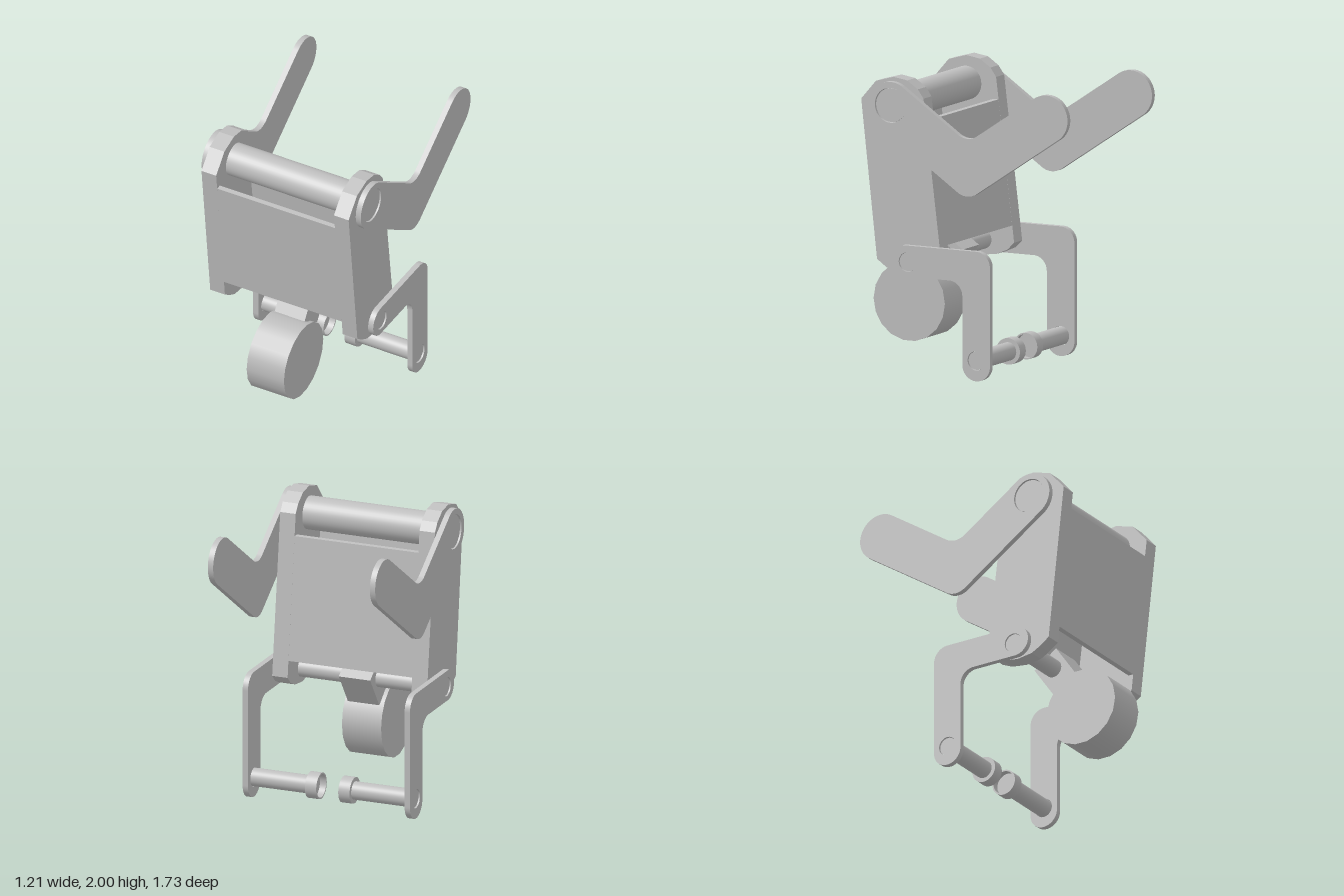
import * as THREE from 'three';

const grey = new THREE.MeshStandardMaterial({ color: 0xc0c0c0 });
grey.name = 'grey metal';

const V = (z, y) => new THREE.Vector2(z, y);

// polygon with every corner rounded by its own radius: corners are [point, radius]
function roundedShape(corners) {
  const shape = new THREE.Shape();
  const n = corners.length;
  corners.forEach(([p, r], i) => {
    const a = corners[(i + n - 1) % n][0].clone().sub(p).normalize();
    const b = corners[(i + 1) % n][0].clone().sub(p).normalize();
    const half = Math.acos(THREE.MathUtils.clamp(a.dot(b), -1, 1)) / 2;
    const c = a.clone().add(b).normalize().multiplyScalar(r / Math.sin(half)).add(p);
    const t = r / Math.tan(half);
    const s = a.multiplyScalar(t).add(p), e = b.multiplyScalar(t).add(p);
    const a0 = Math.atan2(s.y - c.y, s.x - c.x), a1 = Math.atan2(e.y - c.y, e.x - c.x);
    const clockwise = Math.sin(a1 - a0) < 0;
    if (i === 0) shape.moveTo(s.x, s.y); else shape.lineTo(s.x, s.y);
    shape.absarc(c.x, c.y, r, a0, a1, clockwise);
  });
  shape.closePath();
  return shape;
}

// bent bar of half width w along three points, with round ends and a rounded bend
function bentBar(A, B, C, w, outerR, innerR) {
  const d1 = B.clone().sub(A).normalize(), d2 = C.clone().sub(B).normalize();
  const n1 = V(-d1.y, d1.x), n2 = V(-d2.y, d2.x);
  const m = n1.clone().add(n2).normalize();
  m.multiplyScalar(w / m.dot(n1));
  const off = (p, d, kd, n, kn) => p.clone().addScaledVector(d, kd).addScaledVector(n, kn);
  const endR = w * 0.995;
  const turnsLeft = d1.cross(d2) > 0;
  return roundedShape([
    [off(A, d1, -w, n1, -w), endR],
    [B.clone().sub(m), turnsLeft ? outerR : innerR],
    [off(C, d2, w, n2, -w), endR],
    [off(C, d2, w, n2, w), endR],
    [B.clone().add(m), turnsLeft ? innerR : outerR],
    [off(A, d1, -w, n1, w), endR],
  ]);
}

function hole(shape, z, y, r) {
  const path = new THREE.Path();
  path.absarc(z, y, r, 0, Math.PI * 2, true);
  shape.holes.push(path);
}

export function createModel() {
  const model = new THREE.Group();
  model.name = 'linkage';

  const add = (name, geometry) => {
    const mesh = new THREE.Mesh(geometry, grey);
    mesh.name = name;
    model.add(mesh);
    return mesh;
  };
  // extrude a (z, y) profile sideways from x0 to x1
  const slab = (name, shape, x0, x1) => {
    const g = new THREE.ExtrudeGeometry(shape, { depth: x1 - x0, bevelEnabled: false, curveSegments: 24 });
    g.rotateY(-Math.PI / 2);
    g.translate(x1, 0, 0);
    return add(name, g);
  };
  // cylinder lying along x
  const pin = (name, r, x0, x1, y, z, sides = 40) => {
    const g = new THREE.CylinderGeometry(r, r, x1 - x0, sides);
    g.rotateZ(Math.PI / 2);
    g.translate((x0 + x1) / 2, y, z);
    return add(name, g);
  };

  // housing: two thick cheeks joined by a front and a back panel
  const cheek = new THREE.Shape([
    V(0.73, 1.835), V(0.618, 1.963), V(0.485, 2), V(0.38, 1.984), V(0.3, 1.93), V(0.257, 1.87),
    V(0.12, 0.76), V(0.17, 0.71), V(0.25, 0.675), V(0.365, 0.66), V(0.475, 0.675), V(0.54, 0.71), V(0.61, 0.76),
  ]);
  const frontPanel = new THREE.Shape([V(0.623, 0.875), V(0.717, 1.72), V(0.679, 1.72), V(0.585, 0.875)]);
  const backPanel = new THREE.Shape([V(0.135, 0.875), V(0.239, 1.72), V(0.279, 1.72), V(0.175, 0.875)]);
  slab('frontPanel', frontPanel, -0.45, 0.45);
  slab('backPanel', backPanel, -0.45, 0.45);

  // upper V-shaped arms and lower L-shaped brackets
  const arm = bentBar(V(0.483, 1.81), V(-0.1, 1.412), V(-0.7, 1.812), 0.162, 0.13, 0.13);
  hole(arm, 0.483, 1.814, 0.118);
  const bracket = bentBar(V(0.37, 0.771), V(-0.168, 0.771), V(-0.168, 0.105), 0.105, 0.105, 0.1);
  hole(bracket, 0.355, 0.765, 0.065);
  hole(bracket, -0.168, 0.138, 0.065);

  // open cup at the inner end of each foot rod
  const cupProfile = [V(0, 0.045), V(0.08, 0.045), V(0.08, 0), V(0.09, 0), V(0.09, 0.082), V(0, 0.082)];
  const cupPoints = cupProfile.flatMap((p, i) => (i > 0 && i < 5 ? [p, p.clone()] : [p]));

  for (const [side, s] of [['left', 1], ['right', -1]]) {
    const span = (a, b) => (s > 0 ? [a, b] : [-b, -a]);
    slab(side + 'Cheek', cheek, ...span(0.449, 0.561));
    slab(side + 'UpperArm', arm, ...span(0.568, 0.607));
    slab(side + 'LowerBracket', bracket, ...span(0.568, 0.607));
    pin(side + 'FootRod', 0.062, ...span(0.14, 0.597), 0.138, -0.168);
    const cup = new THREE.LatheGeometry(cupPoints, 40);
    cup.rotateZ(-s * Math.PI / 2);
    cup.translate(s * 0.08, 0.138, -0.168);
    add(side + 'Cup', cup);
  }

  // cross pins
  pin('upperPin', 0.114, -0.597, 0.597, 1.814, 0.483);
  pin('lowerPin', 0.063, -0.597, 0.597, 0.765, 0.355);

  // roller and the tilted block that carries it
  pin('roller', 0.271, -0.142, 0.142, 0.415, 0.594, 18);
  const u = V(-0.573, 0.819), n = V(0.819, 0.573), hub = V(0.594, 0.415);
  const corner = (along, across) => hub.clone().addScaledVector(u, along).addScaledVector(n, across);
  slab('rollerBlock', new THREE.Shape([
    corner(0.262, -0.105), corner(0.53, -0.105), corner(0.53, 0.105), corner(0.262, 0.105),
  ]), -0.114, 0.114);

  return model;
}
